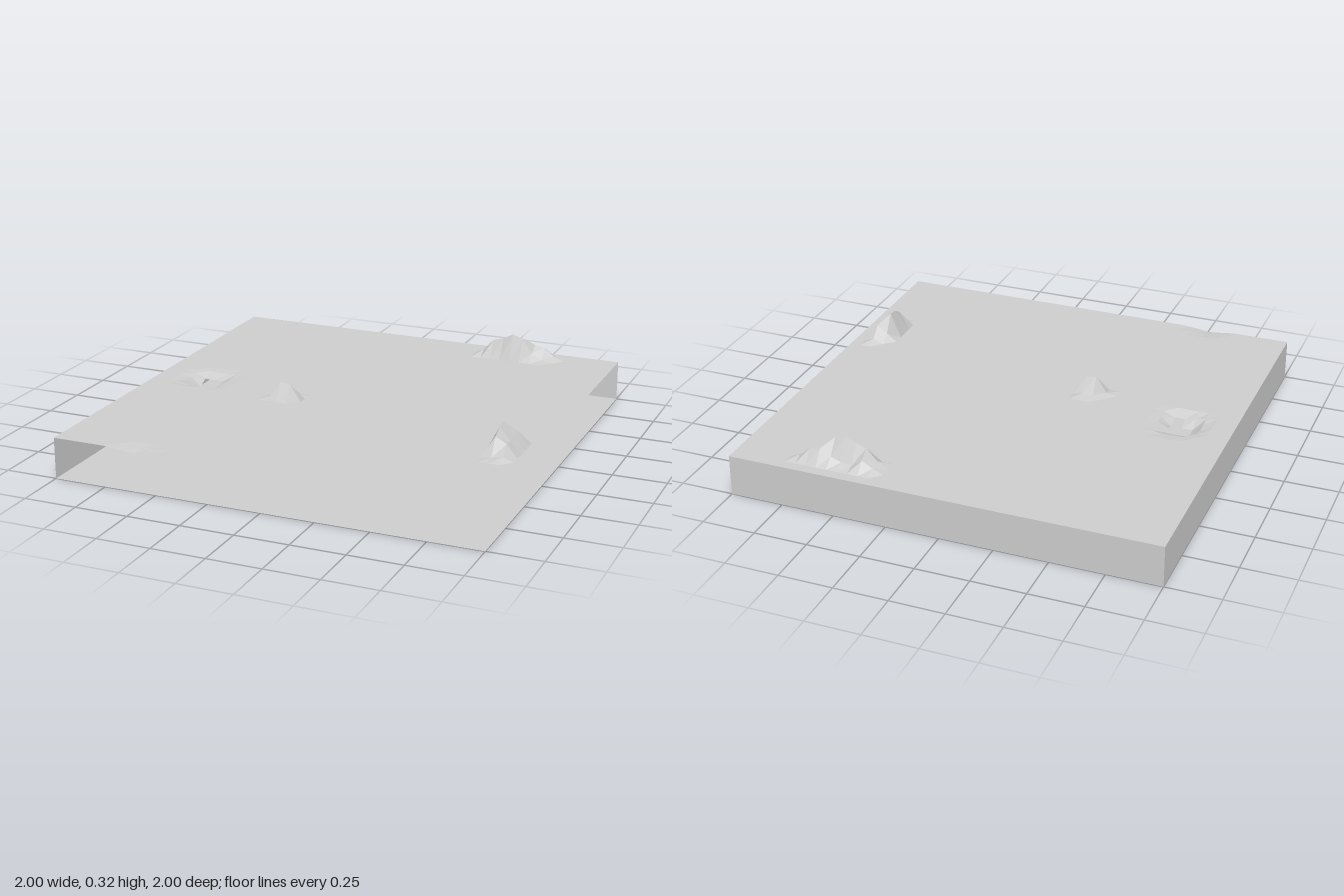
import * as THREE from 'three';

const TOP = 0.192, CELLS = 40, STEP = 2 / CELLS;

// Height patches: start corner (x, z) and rows of offsets from the flat ground,
// each row running along x, rows following each other along z.
const patches = [
  { x: 0.35, z: -0.9, rows: [ // long ridge at the back
    [0.02, 0.05, 0.015, 0.02, 0.04, 0.07, 0.06, 0.02],
    [0.03, 0.085, 0.1, 0.126, 0.11, 0.04, 0.01, 0]] },
  { x: -0.35, z: 0.1, rows: [ // small hill
    [0, 0.01, 0.012],
    [0.01, 0.085, 0.077]] },
  { x: 0.85, z: 0.25, rows: [ // ridge along the side
    [0, 0.022], [0.035, 0.07], [0.122, 0.06], [0.115, 0.055], [0.088, 0.06], [0.008, 0.018]] },
  { x: -0.85, z: -0.1, rows: [ // pit
    [0, -0.004, -0.006, -0.006, 0],
    [-0.005, -0.027, -0.03, -0.027, -0.003],
    [-0.012, -0.052, -0.052, -0.03, -0.004],
    [-0.01, -0.047, -0.047, -0.048, -0.004],
    [-0.003, -0.015, -0.025, -0.025, -0.003]] },
  { x: -0.7, z: 0.95, rows: [ // shallow dip at the front edge
    [0, -0.004, -0.006, -0.003, 0],
    [-0.004, -0.01, -0.015, -0.008, -0.003]] },
];

const gridIndex = (v) => Math.round((v + 1) / STEP);

// The shaft opening, in plan
const inHole = (x, z) =>
  x > -0.8 && x < -0.7 && z > -0.05 && z < 0.1 && !(x < -0.75 && z > 0.05);
const holeOutline = [[-0.8, -0.05], [-0.7, -0.05], [-0.7, 0.1], [-0.75, 0.1], [-0.75, 0.05], [-0.8, 0.05]];

function terrainGeometry() {
  const geo = new THREE.PlaneGeometry(2, 2, CELLS, CELLS).rotateX(-Math.PI / 2);
  geo.translate(0, TOP, 0);
  const pos = geo.attributes.position;
  for (const { x, z, rows } of patches) {
    rows.forEach((row, j) => row.forEach((h, i) => {
      const k = (gridIndex(z) + j) * (CELLS + 1) + gridIndex(x) + i;
      pos.setY(k, TOP + h);
    }));
  }
  // Leave out the triangles over the shaft
  const src = geo.index.array, kept = [];
  for (let i = 0; i < src.length; i += 3) {
    const tri = [src[i], src[i + 1], src[i + 2]];
    const cx = tri.reduce((s, v) => s + pos.getX(v), 0) / 3;
    const cz = tri.reduce((s, v) => s + pos.getZ(v), 0) / 3;
    if (!inHole(cx, cz)) kept.push(...tri);
  }
  geo.setIndex(kept);
  geo.computeVertexNormals();
  return geo;
}

function basePlateGeometry() {
  const shape = new THREE.Shape([[-1, -1], [1, -1], [1, 1], [-1, 1]].map(p => new THREE.Vector2(...p)));
  shape.holes.push(new THREE.Path(holeOutline.map(p => new THREE.Vector2(...p))));
  return new THREE.ShapeGeometry(shape).rotateX(Math.PI / 2);
}

export function createModel() {
  const group = new THREE.Group();
  group.name = 'terrainSlab';
  const stone = new THREE.MeshStandardMaterial({ color: 0xcccccc, flatShading: true, side: THREE.DoubleSide });
  stone.name = 'light grey';

  const add = (name, geo) => {
    const mesh = new THREE.Mesh(geo, stone);
    mesh.name = name;
    group.add(mesh);
  };

  add('terrain', terrainGeometry());
  add('basePlate', basePlateGeometry());

  // Only two sides are closed
  const wall = () => new THREE.PlaneGeometry(2, TOP).translate(0, TOP / 2, 1);
  add('backWall', wall().rotateY(Math.PI));
  add('sideWall', wall().rotateY(-Math.PI / 2));
  return group;
}
